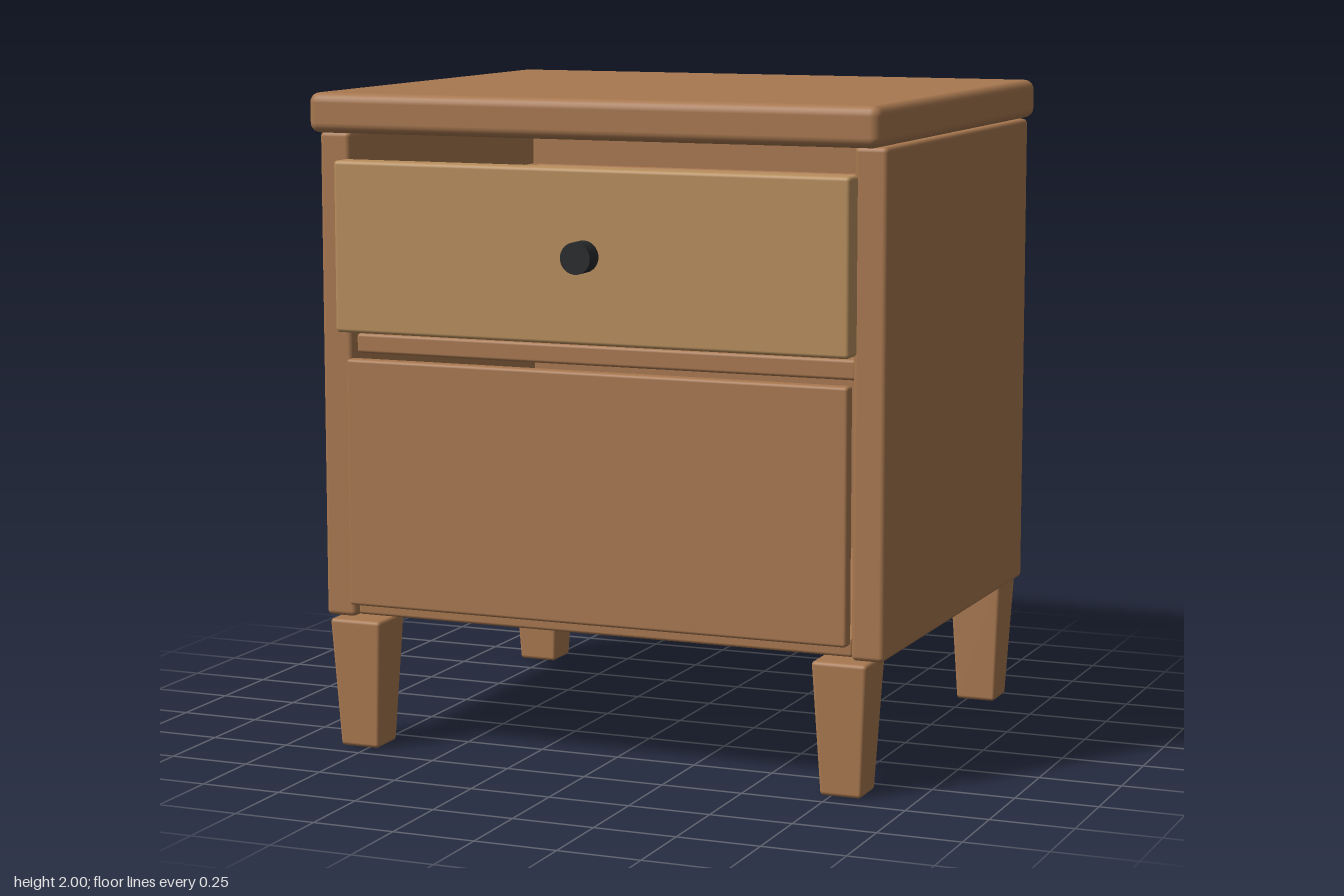
import * as THREE from 'three';
import { RoundedBoxGeometry } from 'three/addons/geometries/RoundedBoxGeometry.js';

const wood = new THREE.MeshStandardMaterial({ color: 0xa87850 });
const paleWood = new THREE.MeshStandardMaterial({ color: 0xb88f5e });
const darkMetal = new THREE.MeshStandardMaterial({ color: 0x26292b });

// Softened board given by its extents [min, max] on each axis
function board(name, [x0, x1], [y0, y1], [z0, z1], radius = 0.01, material = wood) {
  const geometry = new RoundedBoxGeometry(x1 - x0, y1 - y0, z1 - z0, 3, radius);
  const mesh = new THREE.Mesh(geometry, material);
  mesh.name = name;
  mesh.position.set((x0 + x1) / 2, (y0 + y1) / 2, (z0 + z1) / 2);
  return mesh;
}

// Square leg, narrowing towards the floor
function taperedLeg(name, x, z) {
  const height = 0.4, top = 0.17, foot = 0.125;
  const geometry = new RoundedBoxGeometry(top, height, top, 3, 0.012);
  const p = geometry.attributes.position;
  for (let i = 0; i < p.count; i++) {
    const t = p.getY(i) / height + 0.5;
    const s = THREE.MathUtils.lerp(foot / top, 1, t);
    p.setX(i, p.getX(i) * s);
    p.setZ(i, p.getZ(i) * s);
  }
  const mesh = new THREE.Mesh(geometry, wood);
  mesh.name = name;
  mesh.position.set(x, height / 2, z);
  return mesh;
}

export function createModel() {
  const model = new THREE.Group();
  model.name = 'nightstand';

  // Carcass
  model.add(
    board('tabletop', [-0.9, 0.9], [1.88, 2], [-0.8, 0.735], 0.03),
    board('leftSide', [0.8, 0.9], [0.4, 1.88], [-0.72, 0.66], 0.015),
    board('rightSide', [-0.9, -0.8], [0.4, 1.88], [-0.72, 0.66], 0.015),
    board('backPanel', [-0.8, 0.8], [0.41, 1.88], [-0.7, -0.65]),
    board('bottomPanel', [-0.8, 0.8], [0.405, 0.465], [-0.69, 0.64]),
    board('middleShelf', [-0.8, 0.8], [1.21, 1.27], [-0.66, 0.63]),
  );

  // Lower front
  model.add(board('lowerFront', [-0.8, 0.8], [0.445, 1.2], [0.655, 0.7]));

  // Drawer with its open-topped box
  const drawer = new THREE.Group();
  drawer.name = 'drawer';
  drawer.add(
    board('drawerFront', [-0.815, 0.815], [1.285, 1.8], [0.66, 0.737], 0.012, paleWood),
    board('drawerFloor', [-0.75, 0.75], [1.3, 1.34], [-0.55, 0.665]),
    board('drawerBack', [-0.75, 0.75], [1.3, 1.7], [-0.58, -0.54]),
  );
  for (const [name, x] of [['drawerLeftSide', 0.75], ['drawerRightSide', -0.75]]) {
    drawer.add(board(name, [x - 0.02, x + 0.02], [1.3, 1.7], [-0.58, 0.665]));
  }
  const knob = new THREE.Mesh(new THREE.CylinderGeometry(0.047, 0.047, 0.075, 32), darkMetal);
  knob.name = 'knob';
  knob.rotation.x = Math.PI / 2;
  knob.position.set(0, 1.545, 0.7625);
  drawer.add(knob);
  model.add(drawer);

  // Legs
  for (const [side, x] of [['Left', 0.78], ['Right', -0.78]]) {
    model.add(taperedLeg('front' + side + 'Leg', x, 0.622));
    model.add(taperedLeg('back' + side + 'Leg', x, -0.683));
  }

  return model;
}
